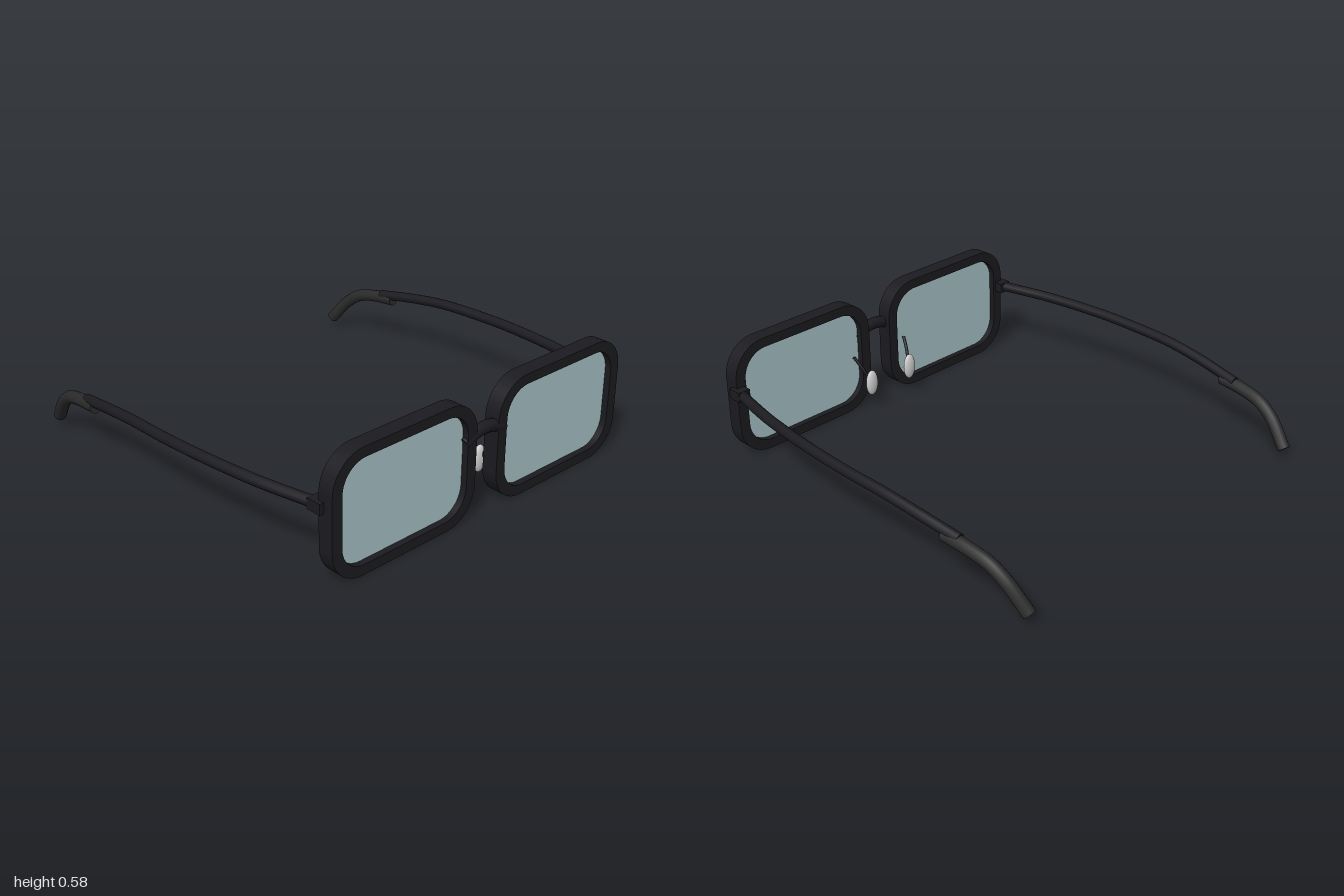
import * as THREE from 'three';

const black = new THREE.MeshStandardMaterial({ color: 0x1b1b20 });
const sleeveBlack = new THREE.MeshStandardMaterial({ color: 0x2a2a2a });
const glass = new THREE.MeshStandardMaterial({ color: 0xa9c4c8 });
const padGrey = new THREE.MeshStandardMaterial({ color: 0xcccccc });

function add(parent, name, geometry, material) {
  const mesh = new THREE.Mesh(geometry, material);
  mesh.name = name;
  parent.add(mesh);
  return mesh;
}

// Rounded rectangle centred on the origin, as a Shape or a hole Path
function roundedRect(Type, w, h, r) {
  const p = new Type(), x = w / 2 - r, y = h / 2 - r;
  p.absarc(x, y, r, 0, Math.PI / 2);
  p.absarc(-x, y, r, Math.PI / 2, Math.PI);
  p.absarc(-x, -y, r, Math.PI, Math.PI * 1.5);
  p.absarc(x, -y, r, Math.PI * 1.5, Math.PI * 2);
  p.closePath();
  return p;
}

// Round rod along a smooth path, closed with flat ends
function rod(parent, name, points, radius, material, segments = 32) {
  const group = new THREE.Group();
  group.name = name;
  const curve = new THREE.CatmullRomCurve3(points.map(p => new THREE.Vector3(...p)));
  add(group, name + 'Shaft', new THREE.TubeGeometry(curve, segments, radius, 12), material);
  for (const t of [0, 1]) {
    const cap = add(group, name + 'End', new THREE.CircleGeometry(radius, 12), material);
    const dir = curve.getTangentAt(t).multiplyScalar(t ? 1 : -1);
    cap.position.copy(curve.getPointAt(t));
    cap.quaternion.setFromUnitVectors(new THREE.Vector3(0, 0, 1), dir);
  }
  parent.add(group);
}

function buildSide(s, name) {
  const side = new THREE.Group();
  side.name = name;

  // Rim with an open centre
  const rimShape = roundedRect(THREE.Shape, 0.812, 0.58, 0.165);
  rimShape.holes.push(roundedRect(THREE.Path, 0.706, 0.486, 0.125));
  const rim = add(side, 'rim', new THREE.ExtrudeGeometry(rimShape,
    { depth: 0.077, bevelEnabled: false, curveSegments: 10 }), black);
  rim.position.set(s * 0.473, 0.29, 0.892);

  // Lens set in the rim
  const lens = add(side, 'lens', new THREE.ExtrudeGeometry(
    roundedRect(THREE.Shape, 0.73, 0.51, 0.135),
    { depth: 0.016, bevelEnabled: false, curveSegments: 10 }), glass);
  lens.position.set(s * 0.473, 0.29, 0.922);

  // Hinge block behind the outer edge of the rim
  const hinge = add(side, 'hinge', new THREE.BoxGeometry(0.062, 0.05, 0.074), black);
  hinge.position.set(s * 0.87, 0.354, 0.885);

  // Temple arm and its thicker ear sleeve
  rod(side, 'temple', [
    [s * 0.87, 0.354, 0.88], [s * 0.893, 0.354, 0.78], [s * 0.933, 0.354, 0.58],
    [s * 0.968, 0.35, 0.25], [s * 0.975, 0.342, 0], [s * 0.97, 0.333, -0.2],
    [s * 0.957, 0.309, -0.4], [s * 0.935, 0.272, -0.62],
  ], 0.025, black, 48);
  rod(side, 'earSleeve', [
    [s * 0.943, 0.264, -0.54], [s * 0.936, 0.25, -0.67], [s * 0.926, 0.224, -0.775],
    [s * 0.914, 0.17, -0.855], [s * 0.888, 0.052, -0.955],
  ], 0.031, sleeveBlack);

  // Nose pad on a thin wire
  rod(side, 'padArm', [
    [s * 0.168, 0.285, 0.9], [s * 0.148, 0.225, 0.857], [s * 0.128, 0.165, 0.828],
  ], 0.008, black, 8);
  const pad = add(side, 'nosePad', new THREE.SphereGeometry(1, 20, 14), padGrey);
  pad.scale.set(0.035, 0.067, 0.02);
  pad.position.set(s * 0.127, 0.157, 0.819);
  return side;
}

export function createModel() {
  const model = new THREE.Group();
  model.name = 'glasses';
  model.add(buildSide(1, 'leftSide'), buildSide(-1, 'rightSide'));

  // Arched bridge between the rims
  rod(model, 'bridge', [
    [-0.118, 0.364, 0.943], [-0.065, 0.39, 0.943], [0, 0.4, 0.943],
    [0.065, 0.39, 0.943], [0.118, 0.364, 0.943],
  ], 0.029, black, 20);
  return model;
}
